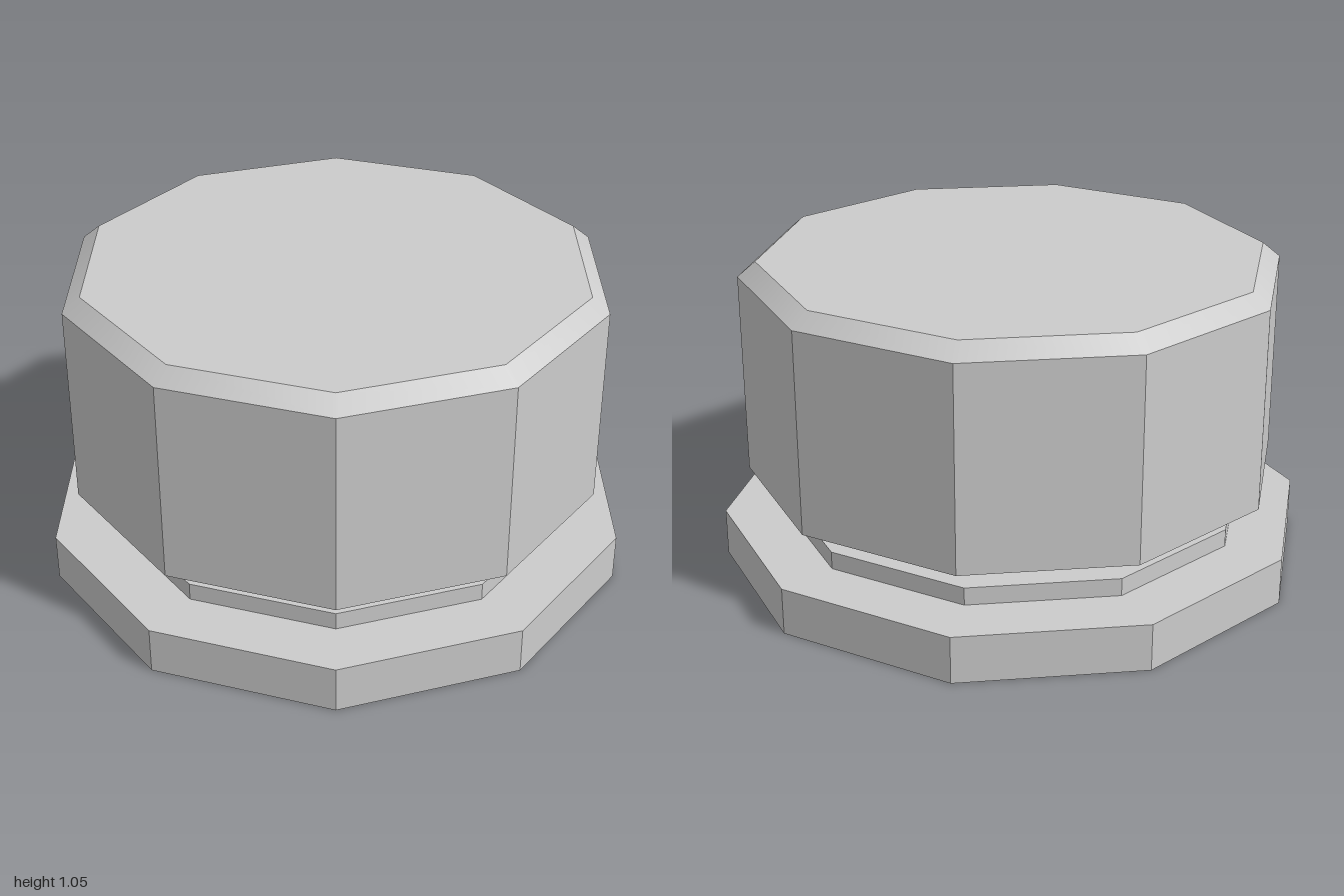
import * as THREE from 'three';

const SIDES = 10;

// Ten-sided turned surface from [radius, height] pairs, with corners on the x axis
function turned(name, profile, flatShading = true) {
  const points = profile.map(([r, y]) => new THREE.Vector2(r, y));
  const geometry = new THREE.LatheGeometry(points, SIDES, Math.PI / 2);
  const material = new THREE.MeshStandardMaterial({
    color: 0xcccccc, flatShading, side: THREE.DoubleSide,
  });
  const mesh = new THREE.Mesh(geometry, material);
  mesh.name = name;
  return mesh;
}

export function createModel() {
  const model = new THREE.Group();
  model.name = 'pushButton';

  // Hollow base, open underneath: wide flange, then a shallow step
  model.add(turned('baseFlange', [[1, 0], [1, 0.16], [0.8, 0.16]]));
  model.add(turned('baseStep', [[0.8, 0.16], [0.8, 0.22], [0.26, 0.22]]));

  // Hollow stem carrying the cap
  model.add(turned('stem', [[0.26, 0.22], [0.26, 0.32]]));

  // Closed cap with a softly shaded bevel round the top
  const cap = new THREE.Group();
  cap.name = 'cap';
  cap.add(
    turned('capBody', [[0, 0.32], [0.91, 0.32], [0.91, 1.005]]),
    turned('capBevel', [[0.91, 1.005], [0.85, 1.055]], false),
    turned('capTop', [[0.85, 1.055], [0, 1.055]]),
  );
  model.add(cap);

  return model;
}
